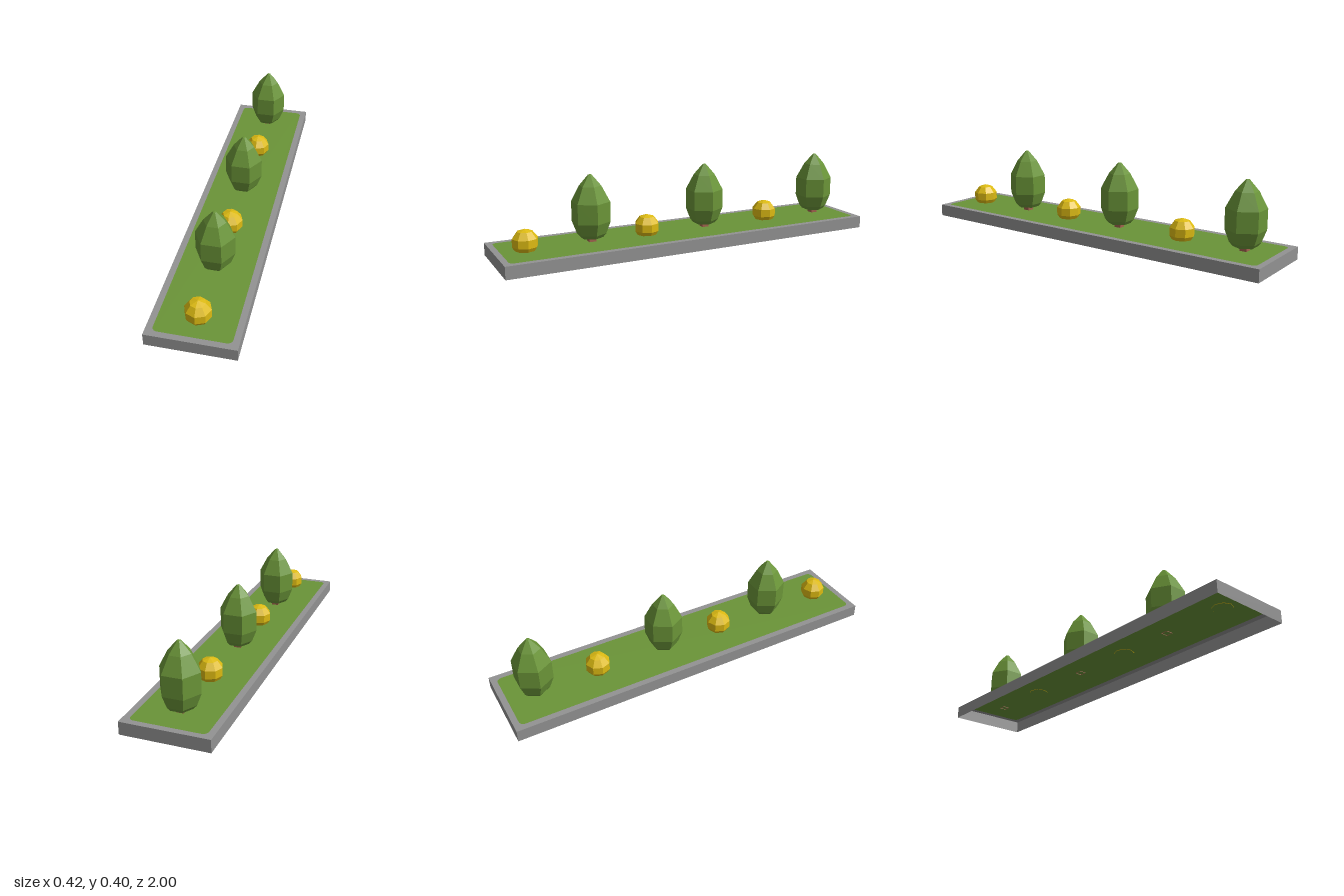
import * as THREE from 'three';

const material = (name, color, side = THREE.FrontSide) => {
  const m = new THREE.MeshStandardMaterial({ color, side });
  m.name = name;
  return m;
};

// Faceted solid of revolution from [radius, height] pairs, bottom to top
function facetedLathe(profile, sides, start) {
  const points = profile.map(([r, y]) => new THREE.Vector2(r, y));
  const geometry = new THREE.LatheGeometry(points, sides, start).toNonIndexed();
  geometry.computeVertexNormals();
  return geometry;
}

// Rounded rectangle outline, half sizes hx and hy
function roundedRect(path, hx, hy, r) {
  path.absarc(hx - r, hy - r, r, 0, Math.PI / 2);
  path.absarc(-hx + r, hy - r, r, Math.PI / 2, Math.PI);
  path.absarc(-hx + r, -hy + r, r, Math.PI, Math.PI * 1.5);
  path.absarc(hx - r, -hy + r, r, Math.PI * 1.5, Math.PI * 2);
  path.closePath();
  return path;
}

export function createModel() {
  const model = new THREE.Group();
  model.name = 'planter';

  const stone = material('grey stone', 0x929292, THREE.DoubleSide);
  const grassGreen = material('grass green', 0x6a9438, THREE.DoubleSide);
  const leafGreen = material('leaf green', 0x6a9438);
  const bushYellow = material('bush yellow', 0xdcba12);
  const bark = material('bark brown', 0xa0624c, THREE.DoubleSide);

  const W = 0.212, L = 1, H = 0.063;

  const add = (parent, name, geometry, mat, x = 0, y = 0, z = 0) => {
    const mesh = new THREE.Mesh(geometry, mat);
    mesh.name = name;
    mesh.position.set(x, y, z);
    parent.add(mesh);
    return mesh;
  };

  // Thin curb walls, open underneath
  for (const s of [1, -1]) {
    const end = add(model, 'curbEnd', new THREE.PlaneGeometry(2 * W, H), stone, 0, H / 2, s * L);
    end.rotation.y = s > 0 ? 0 : Math.PI;
    const side = add(model, 'curbSide', new THREE.PlaneGeometry(2 * L, H), stone, s * W, H / 2, 0);
    side.rotation.y = s * Math.PI / 2;
  }

  // Flat rim with the lawn filling its opening
  const rimShape = new THREE.Shape([
    new THREE.Vector2(-W, -L), new THREE.Vector2(W, -L),
    new THREE.Vector2(W, L), new THREE.Vector2(-W, L),
  ]);
  rimShape.holes.push(roundedRect(new THREE.Path(), 0.181, 0.97, 0.025));
  const rim = new THREE.ShapeGeometry(rimShape, 4).rotateX(-Math.PI / 2);
  add(model, 'curbRim', rim, stone, 0, H, 0);
  const lawn = new THREE.ShapeGeometry(roundedRect(new THREE.Shape(), 0.181, 0.97, 0.025), 4);
  add(model, 'lawn', lawn.rotateX(-Math.PI / 2), grassGreen, 0, H, 0);

  // Six-sided trees on short square trunks
  const crown = facetedLathe([
    [0, 0.085], [0.058, 0.085], [0.074, 0.104], [0.097, 0.165],
    [0.097, 0.265], [0.055, 0.345], [0.009, 0.399], [0, 0.401],
  ], 6, Math.PI / 2);
  const trunk = new THREE.CylinderGeometry(0.025, 0.025, 0.034, 4, 1, true)
    .rotateY(Math.PI / 4).toNonIndexed();
  trunk.computeVertexNormals();
  for (const z of [0.515, -0.118, -0.827]) {
    const tree = new THREE.Group();
    tree.name = 'tree';
    tree.position.set(-0.003, 0, z);
    add(tree, 'treeCrown', crown, leafGreen);
    add(tree, 'treeTrunk', trunk, bark, 0, 0.077, 0);
    model.add(tree);
  }

  // Eight-sided round bushes between the trees
  const bush = facetedLathe([
    [0.049, 0.061], [0.063, 0.083], [0.063, 0.123], [0.038, 0.156], [0, 0.168],
  ], 8, 0);
  for (const z of [0.85, 0.217, -0.493]) add(model, 'bush', bush, bushYellow, 0, 0, z);

  return model;
}
